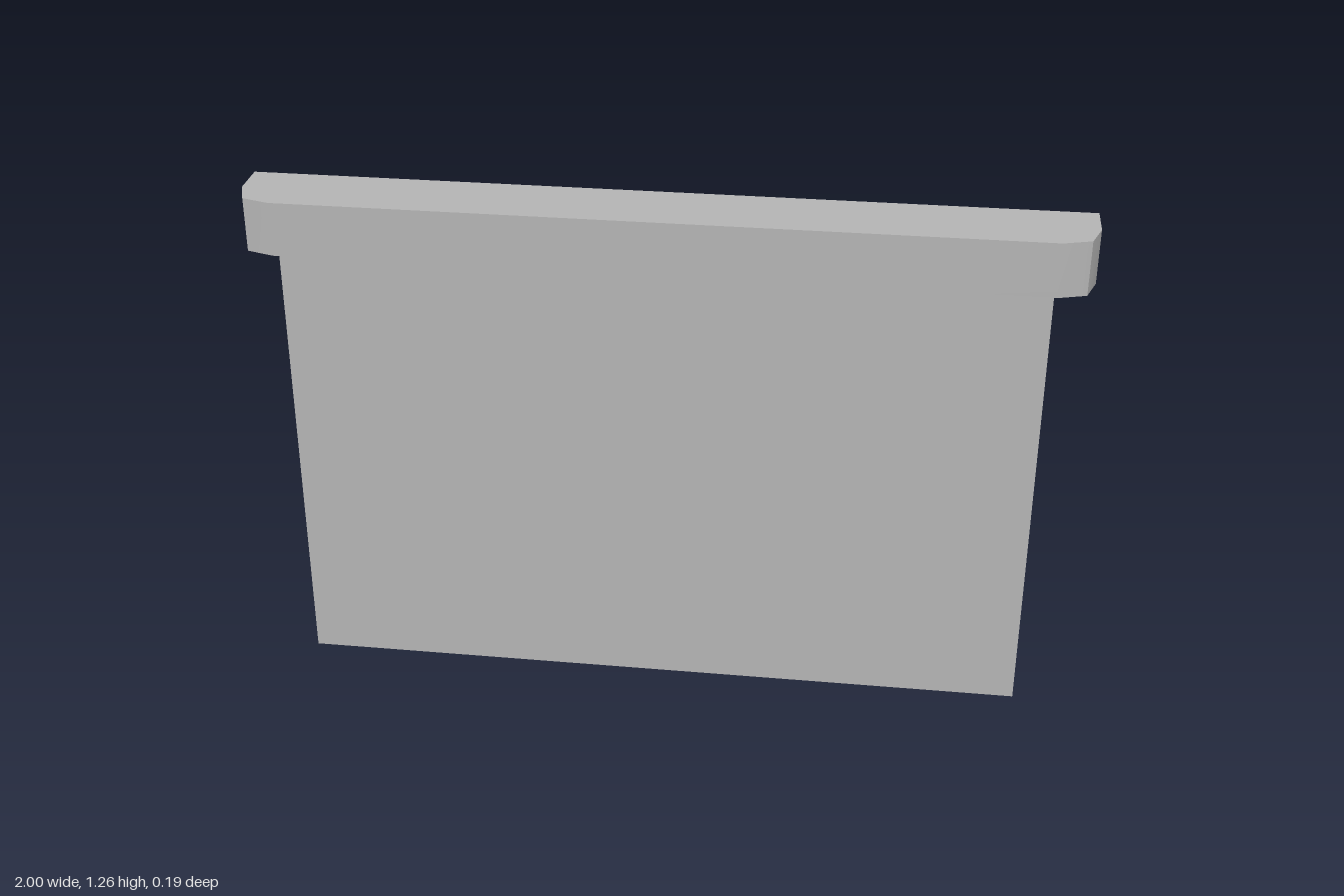
import * as THREE from 'three';
import { toCreasedNormals } from 'three/addons/utils/BufferGeometryUtils.js';

const stone = new THREE.MeshStandardMaterial({ color: 0xb3b3b3, side: THREE.DoubleSide });
stone.name = 'plain grey';

// Upright wall following an [x, z] outline, left open at the back
function wall(name, outline, y0, y1) {
  const pos = [];
  for (let i = 0; i < outline.length - 1; i++) {
    const [ax, az] = outline[i];
    const [bx, bz] = outline[i + 1];
    pos.push(ax, y0, az, bx, y0, bz, bx, y1, bz);
    pos.push(ax, y0, az, bx, y1, bz, ax, y1, az);
  }
  const geo = new THREE.BufferGeometry();
  geo.setAttribute('position', new THREE.Float32BufferAttribute(pos, 3));
  const mesh = new THREE.Mesh(toCreasedNormals(geo, 0.5), stone);
  mesh.name = name;
  return mesh;
}

// Flat plate filling an [x, z] outline at height y
function plate(name, outline, y) {
  const shape = new THREE.Shape(outline.map(([x, z]) => new THREE.Vector2(x, z)));
  const mesh = new THREE.Mesh(new THREE.ShapeGeometry(shape).rotateX(Math.PI / 2), stone);
  mesh.name = name;
  mesh.position.y = y;
  return mesh;
}

// Mirror the left half of an outline to the right
const mirrored = (half) => [...half, ...half.map(([x, z]) => [-x, z]).reverse()];

export function createModel() {
  const model = new THREE.Group();
  model.name = 'panelWithLedge';

  // Hollow panel: front, sides and bottom, running up into the ledge
  const panel = new THREE.Group();
  panel.name = 'panel';
  const panelOutline = mirrored([[-0.905, 0.013], [-0.905, 0.063]]);
  panel.add(
    wall('panelFrontAndSides', panelOutline, 0, 1.25),
    plate('panelBottom', panelOutline, 0),
  );

  // Hollow ledge with rounded front corners
  const ledge = new THREE.Group();
  ledge.name = 'ledge';
  const ledgeOutline = mirrored([[-1, -0.094], [-1, 0.004], [-0.977, 0.073], [-0.91, 0.094]]);
  ledge.add(
    wall('ledgeRim', ledgeOutline, 1.125, 1.258),
    plate('ledgeTop', ledgeOutline, 1.258),
    plate('ledgeBottom', ledgeOutline, 1.125),
  );

  model.add(panel, ledge);
  return model;
}
